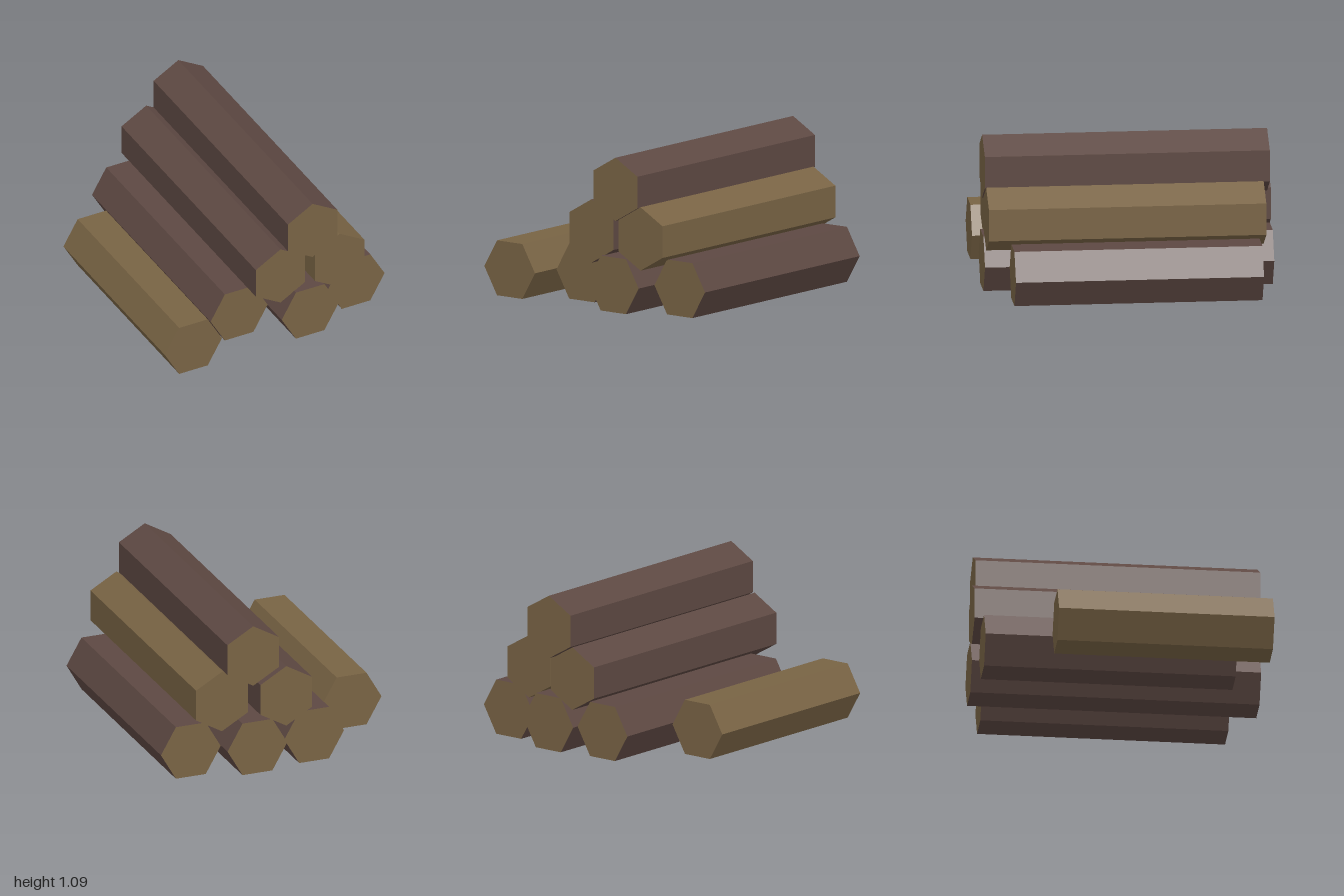
import * as THREE from 'three';

export function createModel() {
  const group = new THREE.Group();
  group.name = 'logPile';

  const bark = new THREE.MeshStandardMaterial({ name: 'bark', color: 0x5d4842, flatShading: true });
  const wood = new THREE.MeshStandardMaterial({ name: 'bareWood', color: 0x78633f, flatShading: true });
  bark.color.set(0x5d4842);
  wood.color.set(0x786344);

  const R = 0.222;

  // Hexagonal log lying along z; flat = resting on a face, otherwise corner up
  function addLog(name, x, y, zBack, zFront, flat, side) {
    const geo = new THREE.CylinderGeometry(R, R, zFront - zBack, 6);
    geo.rotateX(Math.PI / 2);
    if (flat) geo.rotateZ(Math.PI / 6);
    const log = new THREE.Mesh(geo, [side, wood, wood]); // side, two cut ends
    log.name = name;
    log.position.set(x, y, (zBack + zFront) / 2);
    group.add(log);
  }

  // Bottom row
  const low = R * Math.sqrt(3) / 2;
  addLog('strippedLooseLog', -0.68, low, -0.49, 1, true, wood);
  addLog('bottomRightLog', -0.213, low, -0.95, 0.79, true, bark);
  addLog('bottomMiddleLog', 0.229, low, -1, 1, true, bark);
  addLog('bottomLeftLog', 0.677, low, -0.885, 0.83, true, bark);

  // Middle row
  addLog('middleRightLog', 0.014, 0.54, -1, 0.97, false, bark);
  addLog('strippedMiddleLog', 0.462, 0.54, -0.925, 0.993, false, wood);

  // Top of the pile
  addLog('topLog', 0.248, 0.863, -0.97, 1, false, bark);

  return group;
}
